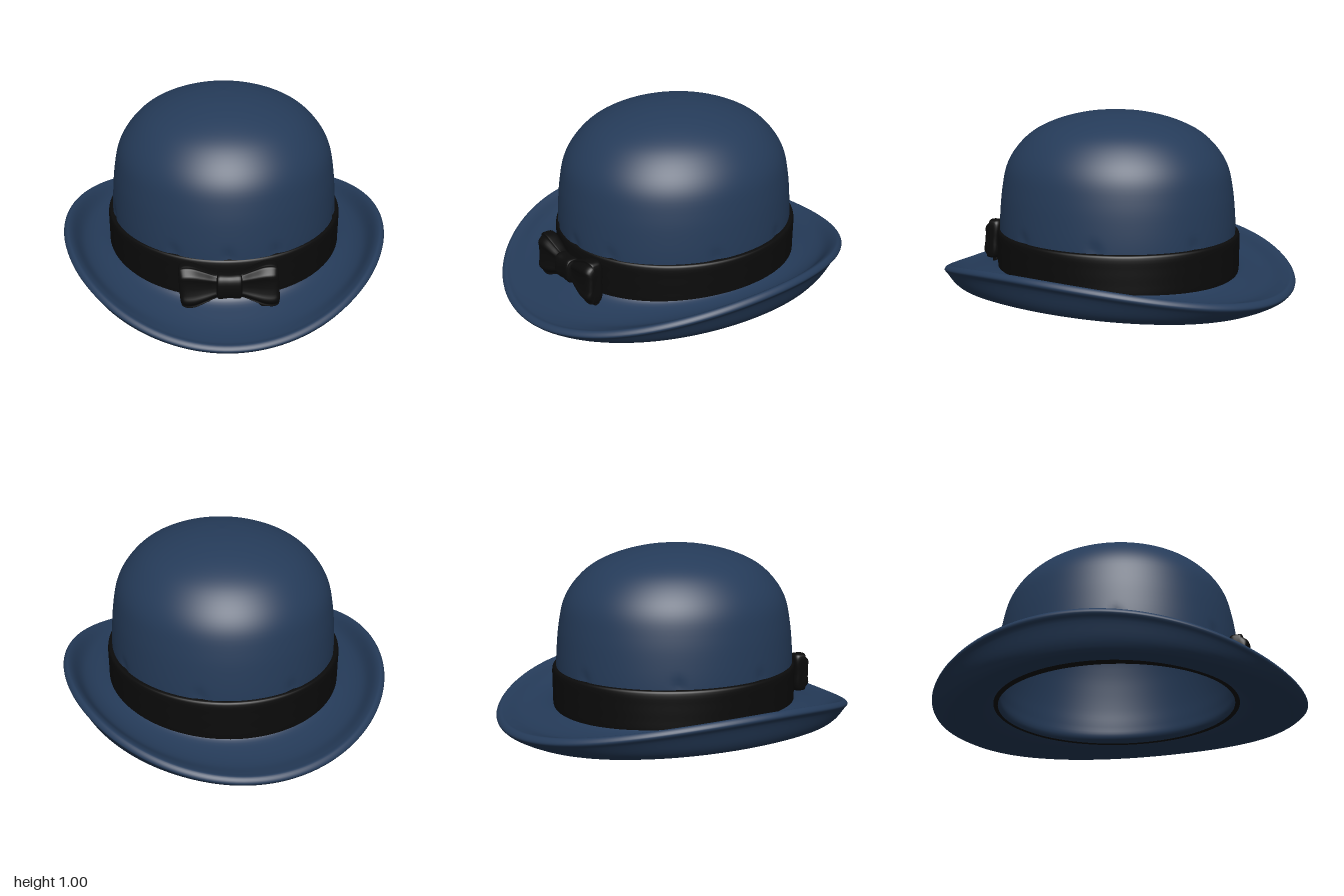
import * as THREE from 'three';

const felt = new THREE.MeshStandardMaterial({ color: 0x253b59 });
felt.name = 'navy felt';
const ribbon = new THREE.MeshStandardMaterial({ color: 0x0b0b0b });
ribbon.name = 'black ribbon';

// Skin a surface of rows x cols points; every row is a closed ring
function loft(rows, cols, point) {
  const pos = [], index = [];
  for (let i = 0; i <= rows; i++) {
    for (let j = 0; j < cols; j++) pos.push(...point(i / rows, (j / cols) * Math.PI * 2));
  }
  for (let i = 0; i < rows; i++) {
    for (let j = 0; j < cols; j++) {
      const a = i * cols + j, b = i * cols + (j + 1) % cols;
      index.push(a, b, a + cols, b, b + cols, a + cols);
    }
  }
  const g = new THREE.BufferGeometry();
  g.setAttribute('position', new THREE.Float32BufferAttribute(pos, 3));
  g.setIndex(index);
  g.computeVertexNormals();
  return g;
}

function part(name, geometry, material) {
  const m = new THREE.Mesh(geometry, material);
  m.name = name;
  return m;
}

const spline = pts => new THREE.CatmullRomCurve3(pts.map(p => new THREE.Vector3(p[0], p[1], 0)));

// Hollow crown and curled brim as one continuous skin
function hatBody() {
  const dome = [
    [0.62, 0.24], [0.62, 0.34], [0.614, 0.45], [0.6, 0.58], [0.574, 0.7], [0.525, 0.79],
    [0.44, 0.878], [0.32, 0.942], [0.16, 0.986], [0, 1],
  ];
  // side radius, y | front radius, y | back radius, y
  const brim = [
    [0.6, 0.15, 0.645, 0.125, 0.645, 0.13],
    [0.64, 0.115, 0.7, 0.075, 0.7, 0.085],
    [0.72, 0.09, 0.8, 0.035, 0.79, 0.045],
    [0.8, 0.08, 0.91, 0.0, 0.87, 0.02],
    [0.835, 0.12, 0.955, 0.008, 0.93, 0.038],
    [0.875, 0.215, 0.99, 0.028, 0.985, 0.07],
    [0.895, 0.248, 1.0, 0.045, 1.0, 0.093],
    [0.875, 0.27, 0.98, 0.064, 0.98, 0.116],
    [0.85, 0.258, 0.95, 0.06, 0.95, 0.113],
    [0.79, 0.185, 0.87, 0.066, 0.87, 0.1],
    [0.72, 0.155, 0.77, 0.09, 0.77, 0.107],
    [0.65, 0.16, 0.69, 0.12, 0.69, 0.128],
    [0.622, 0.18, 0.668, 0.15, 0.668, 0.155],
  ];
  const expand = ([r, y]) => [r, y, r * 1.076, y, r * 1.076, y];
  const lining = dome.map(([r, y]) => [r * 0.96, y - 0.03]).reverse();
  const table = [...lining.map(expand), ...brim, ...dome.map(expand)];
  const [side, front, back] = [0, 2, 4].map(k => spline(table.map(r => [r[k], r[k + 1]])));
  // small puckers where the ribbon pulls the felt in
  const puckers = [0, 0.4, -0.45, 1.25, 1.9, -1.3, -2.0, 2.7, -2.8];
  return loft(150, 160, (t, a) => {
    const c = Math.cos(a), s = Math.sin(a);
    const p = side.getPoint(t), e = (c >= 0 ? front : back).getPoint(t);
    const y = p.y + (e.y - p.y) * c * c;
    let k = 1;
    if (t > 0.7) {
      for (const q of puckers) {
        const d = Math.atan2(Math.sin(a - q), Math.cos(a - q));
        k -= 0.014 * Math.exp(-((d / 0.04) ** 2) - ((y - 0.36) / 0.035) ** 2);
      }
    }
    return [p.x * s * k, y, e.x * c * k];
  });
}

// Ribbon wrapped around the crown
function hatBand() {
  const section = [[0.6, 0.11], [0.634, 0.112], [0.643, 0.13], [0.645, 0.2], [0.645, 0.27],
    [0.643, 0.333], [0.635, 0.345], [0.6, 0.345]];
  const curve = spline(section);
  return loft(28, 128, (t, a) => {
    const p = curve.getPoint(t);
    return [p.x * Math.sin(a), p.y, (p.x + 0.037) * Math.cos(a) - 0.006];
  });
}

// Squarish ring in the yz plane
function squircle(phi, h, d, n) {
  const f = v => Math.sign(v) * Math.abs(v) ** n;
  return [f(Math.cos(phi)) * h, f(Math.sin(phi)) * d];
}

// Both bow loops, pinched in the middle, with pleats fading outwards
function bowLoops() {
  // distance from the middle, half height, half depth
  const half = [[0, 0.055, 0.03], [0.06, 0.062, 0.032], [0.12, 0.088, 0.042], [0.18, 0.112, 0.05],
    [0.225, 0.112, 0.048], [0.242, 0.098, 0.036], [0.244, 0, 0]];
  const height = spline(half.map(r => [r[0], r[1]]));
  const depth = spline(half.map(r => [r[0], r[2]]));
  return loft(60, 48, (t, phi) => {
    const u = Math.abs(2 * t - 1), h = height.getPoint(u), d = depth.getPoint(u);
    const [y, z] = squircle(phi, Math.max(h.y, 0), Math.max(d.y, 0), 0.6);
    const x = h.x * Math.sign(t - 0.5);
    const pleat = 0.008 * Math.sin(phi * 7) * Math.sin(u * Math.PI);
    const lean = y > 0 ? -y * 0.15 : 0;
    return [x + y * -0.06, 0.235 + y, 0.712 + z + lean + (z > 0 ? pleat : 0)];
  });
}

// Knot wrapped round the middle of the bow
function bowKnot() {
  const w = spline([[-0.062, 0], [-0.06, 0.8], [-0.045, 1], [0, 0.95], [0.045, 1], [0.06, 0.8], [0.062, 0]]);
  return loft(30, 32, (t, phi) => {
    const p = w.getPoint(t), k = Math.max(p.y, 0);
    const [y, z] = squircle(phi, 0.068 * k, 0.045 * k, 0.7);
    return [p.x, 0.237 + y, 0.72 + z];
  });
}

// Short ribbon end hanging below one loop
function bowTail() {
  const s = new THREE.Shape();
  s.moveTo(0.06, 0.21);
  s.lineTo(0.17, 0.1);
  s.lineTo(0.195, 0.083);
  s.lineTo(0.222, 0.087);
  s.lineTo(0.215, 0.2);
  const g = new THREE.ExtrudeGeometry(s, { depth: 0.02, bevelEnabled: true, bevelSize: 0.004, bevelThickness: 0.004, bevelSegments: 2 });
  g.translate(0, 0, 0.685);
  return g;
}

export function createModel() {
  const hat = new THREE.Group();
  hat.name = 'bowlerHat';
  hat.add(part('crownAndBrim', hatBody(), felt));
  hat.add(part('hatBand', hatBand(), ribbon));
  const bow = new THREE.Group();
  bow.name = 'bow';
  bow.add(part('bowLoops', bowLoops(), ribbon));
  bow.add(part('bowKnot', bowKnot(), ribbon));
  bow.add(part('bowTail', bowTail(), ribbon));
  hat.add(bow);
  return hat;
}
